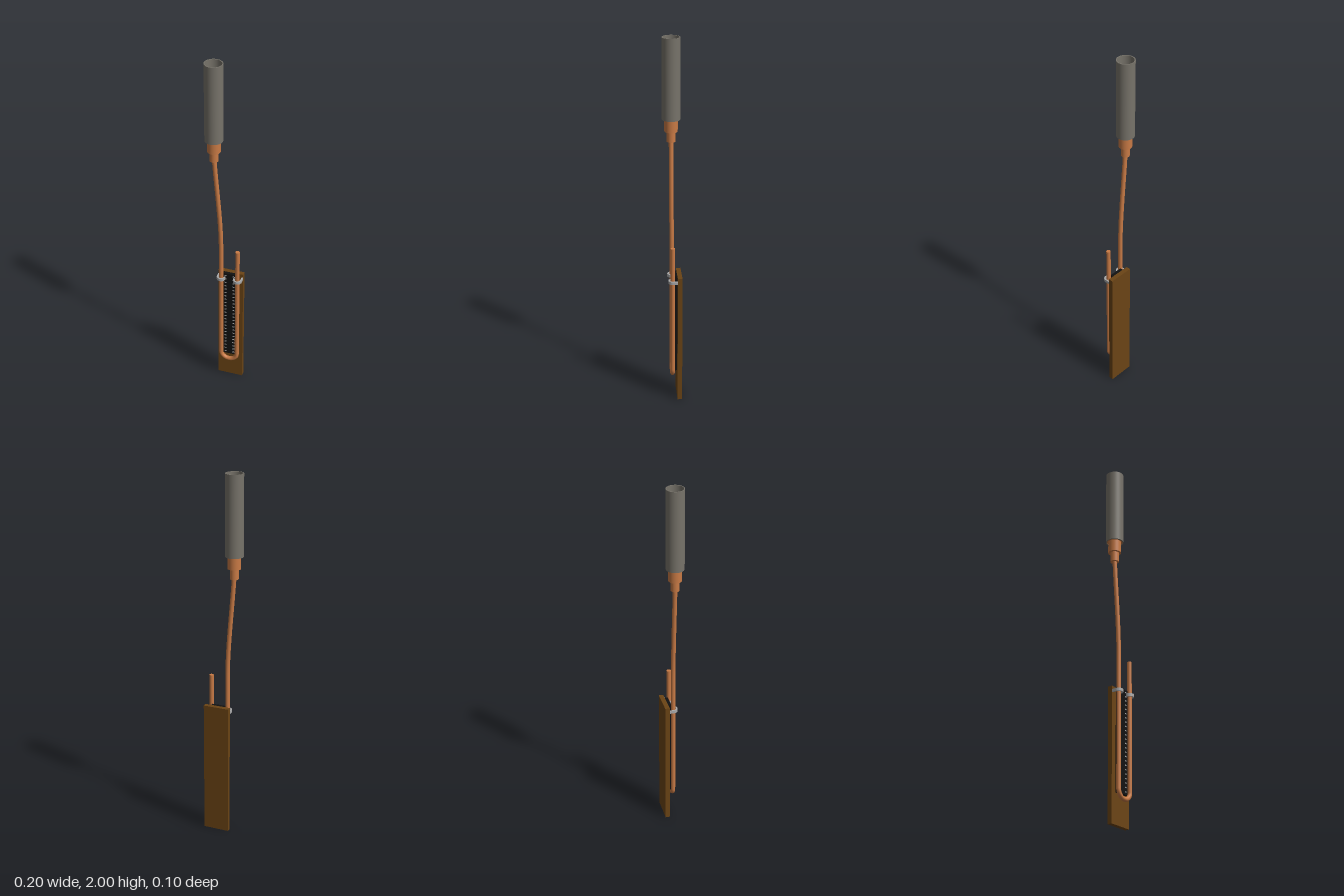
import * as THREE from 'three';

const mat = (color, side = THREE.FrontSide) => new THREE.MeshStandardMaterial({ color, side });
const V = (x, y) => new THREE.Vector3(x, y, 0);

export function createModel() {
  const group = new THREE.Group();
  const copper = mat(0xc87a45, THREE.DoubleSide);
  const brown = mat(0x6b4415);
  const black = mat(0x111111);
  const steel = mat(0xaaaaaa);
  const sleeveMat = mat(0x77736a, THREE.DoubleSide);

  const add = (name, geometry, material, x = 0, y = 0, z = 0) => {
    const mesh = new THREE.Mesh(geometry, material);
    mesh.name = name;
    mesh.position.set(x, y, z);
    group.add(mesh);
    return mesh;
  };
  const box = (name, material, x0, x1, y0, y1, z0, z1) =>
    add(name, new THREE.BoxGeometry(x1 - x0, y1 - y0, z1 - z0), material,
      (x0 + x1) / 2, (y0 + y1) / 2, (z0 + z1) / 2);

  // Mounting board and the black strip on its front
  box('board', brown, -0.042, 0.1, 0, 0.735, -0.05, -0.025);
  box('strip', black, -0.01, 0.067, 0.165, 0.735, -0.025, -0.008);

  // Two columns of small marks on the strip
  for (let i = 0; i < 24; i++) {
    const y = 0.18 + i * 0.0235;
    for (const side of [-1, 1]) {
      const x = 0.0285 + side * 0.023;
      box('stripMark', steel, x - 0.006, x + 0.006, y - 0.003, y + 0.003, -0.009, -0.0065);
    }
  }

  // U-shaped pipe: open right end, bend at the bottom, long left leg leaning to the collar
  const xl = -0.018, xr = 0.075, r = 0.042, yb = 0.136, k = r * 0.45;
  const path = new THREE.CurvePath();
  path.add(new THREE.LineCurve3(V(xr, 0.9), V(xr, yb + r)));
  path.add(new THREE.CubicBezierCurve3(V(xr, yb + r), V(xr, yb + k), V(xr - r + k, yb), V(xr - r, yb)));
  path.add(new THREE.LineCurve3(V(xr - r, yb), V(xl + r, yb)));
  path.add(new THREE.CubicBezierCurve3(V(xl + r, yb), V(xl + r - k, yb), V(xl, yb + k), V(xl, yb + r)));
  path.add(new THREE.LineCurve3(V(xl, yb + r), V(xl, 0.9)));
  path.add(new THREE.CubicBezierCurve3(V(xl, 0.9), V(xl, 1.08), V(-0.043, 1.28), V(-0.055, 1.47)));
  add('pipe', new THREE.TubeGeometry(path, 260, 0.012, 20), copper);
  const cap = add('pipeEnd', new THREE.CircleGeometry(0.012, 20), copper, xr, 0.9, 0);
  cap.rotation.x = -Math.PI / 2;

  // Hollow turned parts above the pipe, one wall ring each
  const ring = (name, material, ro, ri, y0, y1) => {
    const faces = [[ri, y0, ro, y0], [ro, y0, ro, y1], [ro, y1, ri, y1], [ri, y1, ri, y0]];
    for (const [a, b, c, d] of faces) {
      add(name, new THREE.LatheGeometry([new THREE.Vector2(a, b), new THREE.Vector2(c, d)], 40),
        material, -0.055, 0, 0);
    }
  };
  ring('lowerCollar', copper, 0.023, 0.012, 1.45, 1.52);
  ring('upperCollar', copper, 0.035, 0.022, 1.505, 1.575);
  ring('sleeveFloor', copper, 0.044, 0.034, 1.572, 1.59);
  ring('sleeve', sleeveMat, 0.048, 0.043, 1.57, 2);

  // Clamp hooks: a leg from the board, then a band around the front of the pipe
  const clamp = (x, s) => {
    const ro = 0.024, ri = 0.016, sh = new THREE.Shape();
    sh.moveTo(ri, -0.026);
    sh.lineTo(ro, -0.026);
    sh.lineTo(ro, 0);
    sh.absarc(0, 0, ro, 0, Math.PI * 1.08, false);
    sh.lineTo(ri * Math.cos(Math.PI * 1.08), ri * Math.sin(Math.PI * 1.08));
    sh.absarc(0, 0, ri, Math.PI * 1.08, 0, true);
    sh.closePath();
    const geo = new THREE.ExtrudeGeometry(sh, { depth: 0.016, bevelEnabled: false, curveSegments: 20 });
    geo.rotateX(Math.PI / 2);
    if (s < 0) geo.rotateZ(Math.PI); // turn over to face the other way
    add(s > 0 ? 'leftClamp' : 'rightClamp', geo, steel, x, s > 0 ? 0.715 : 0.699, 0);
  };
  clamp(xr, 1);
  clamp(xl, -1);

  return group;
}
